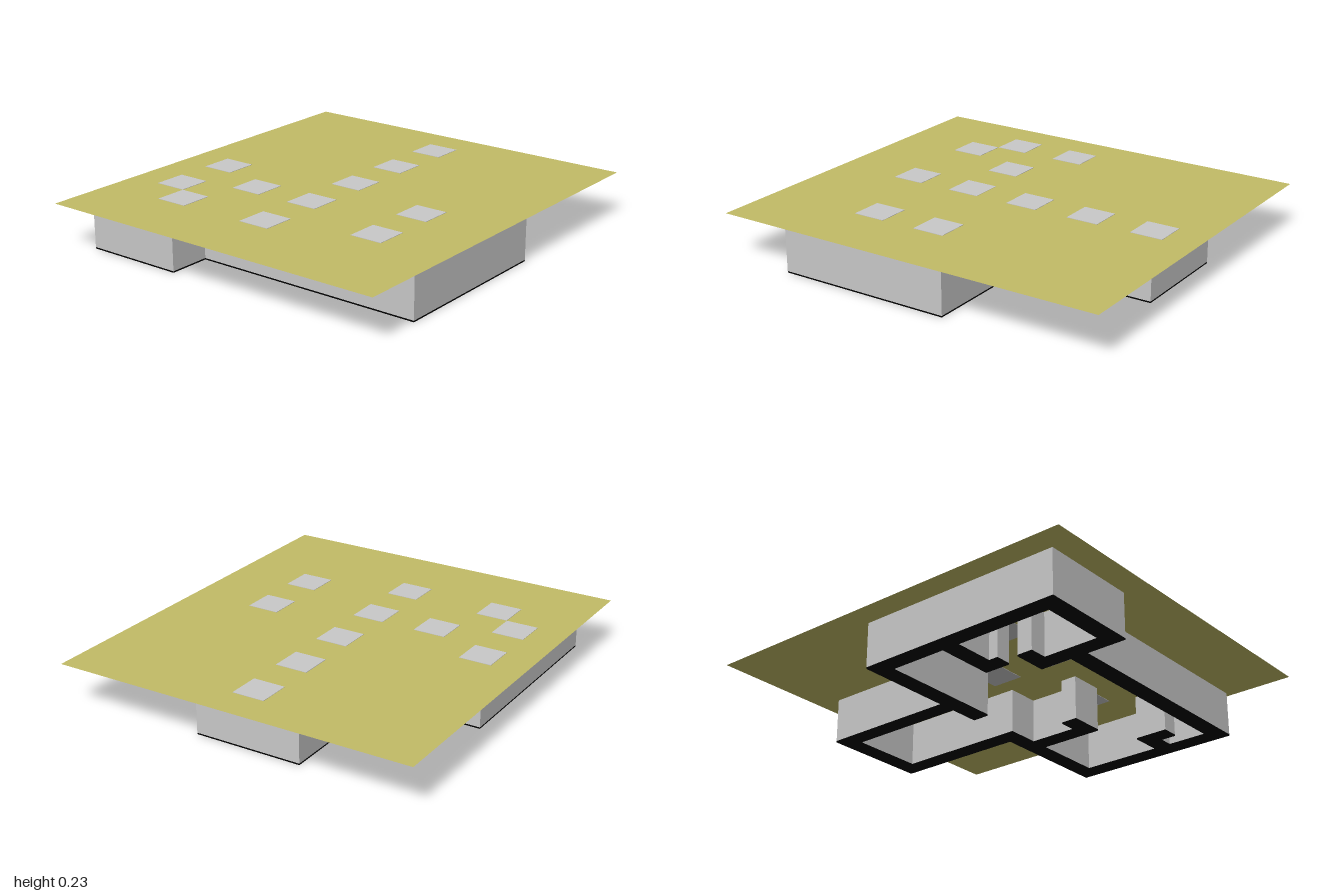
import * as THREE from 'three';

export function createModel() {
  const model = new THREE.Group();
  const wallMat = new THREE.MeshStandardMaterial({ color: 0xc8c8c8 });
  wallMat.name = 'wall grey';
  const roofMat = new THREE.MeshStandardMaterial({ color: 0xc2bb66, side: THREE.DoubleSide });
  roofMat.name = 'roof olive';
  const baseMat = new THREE.MeshStandardMaterial({ color: 0x000000 });
  baseMat.name = 'base black';

  const roofY = 0.23, wallTop = 0.228, baseTop = 0.007;

  function addBox(parent, name, mat, x0, x1, y0, y1, z0, z1) {
    const mesh = new THREE.Mesh(new THREE.BoxGeometry(x1 - x0, y1 - y0, z1 - z0), mat);
    mesh.position.set((x0 + x1) / 2, (y0 + y1) / 2, (z0 + z1) / 2);
    mesh.name = name;
    parent.add(mesh);
  }

  // floor plan rectangles: x0, x1, z0, z1
  const outerWalls = [
    [0.09, 0.175, -0.79, -0.06],     // north room east wall with corridor stub
    [-0.875, 0.175, -0.79, -0.71],   // back wall
    [-0.875, -0.79, -0.79, -0.29],   // north room west wall
    [-0.875, -0.42, -0.37, -0.29],   // north room lower wall
    [-0.667, -0.583, -0.37, 0.875],  // long west wall
    [-0.667, 0.208, 0.79, 0.875],    // front wall
    [0.125, 0.208, 0.167, 0.875],    // south room east wall
    [0.125, 0.875, 0.167, 0.25],     // corridor front wall
    [0.79, 0.875, -0.29, 0.25],      // corridor end wall
    [0.09, 0.875, -0.29, -0.21],     // corridor back wall
  ];
  const innerWalls = [
    [-0.208, 0.2, 0.333, 0.416],     // south room divider
    [-0.208, -0.125, 0.24, 0.416],
    [-0.375, -0.292, 0.64, 0.85],    // small closet
    [-0.46, -0.292, 0.625, 0.708],
    [-0.5, -0.42, -0.46, -0.29],     // north room door stub
    [-0.292, -0.208, -0.75, -0.42],  // north room divider
    [-0.34, -0.208, -0.5, -0.42],
  ];

  for (const [group, list] of [['outerWalls', outerWalls], ['innerWalls', innerWalls]]) {
    const g = new THREE.Group();
    g.name = group;
    for (const [x0, x1, z0, z1] of list) {
      addBox(g, 'wall', wallMat, x0, x1, baseTop, wallTop, z0, z1);
      addBox(g, 'wallBase', baseMat, x0, x1, 0, baseTop, z0, z1);
    }
    model.add(g);
  }

  // flat roof sheet
  const roof = new THREE.Mesh(new THREE.PlaneGeometry(2, 1.82), roofMat);
  roof.rotation.x = -Math.PI / 2;
  roof.position.y = roofY;
  roof.name = 'roof';
  model.add(roof);

  // square light panels, seen from above and below
  const panels = new THREE.Group();
  panels.name = 'lightPanels';
  const centres = [
    [-0.415, -0.665], [-0.083, -0.665], [-0.58, -0.5], [-0.25, -0.335],
    [-0.58, 0], [-0.25, 0], [0.083, 0], [0.417, 0], [0.75, 0],
    [-0.42, 0.5], [-0.083, 0.5],
  ];
  const h = 0.081;
  for (const [x, z] of centres)
    addBox(panels, 'lightPanel', wallMat, x - h, x + h, roofY - 0.002, roofY + 0.002, z - h, z + h);
  model.add(panels);

  return model;
}
